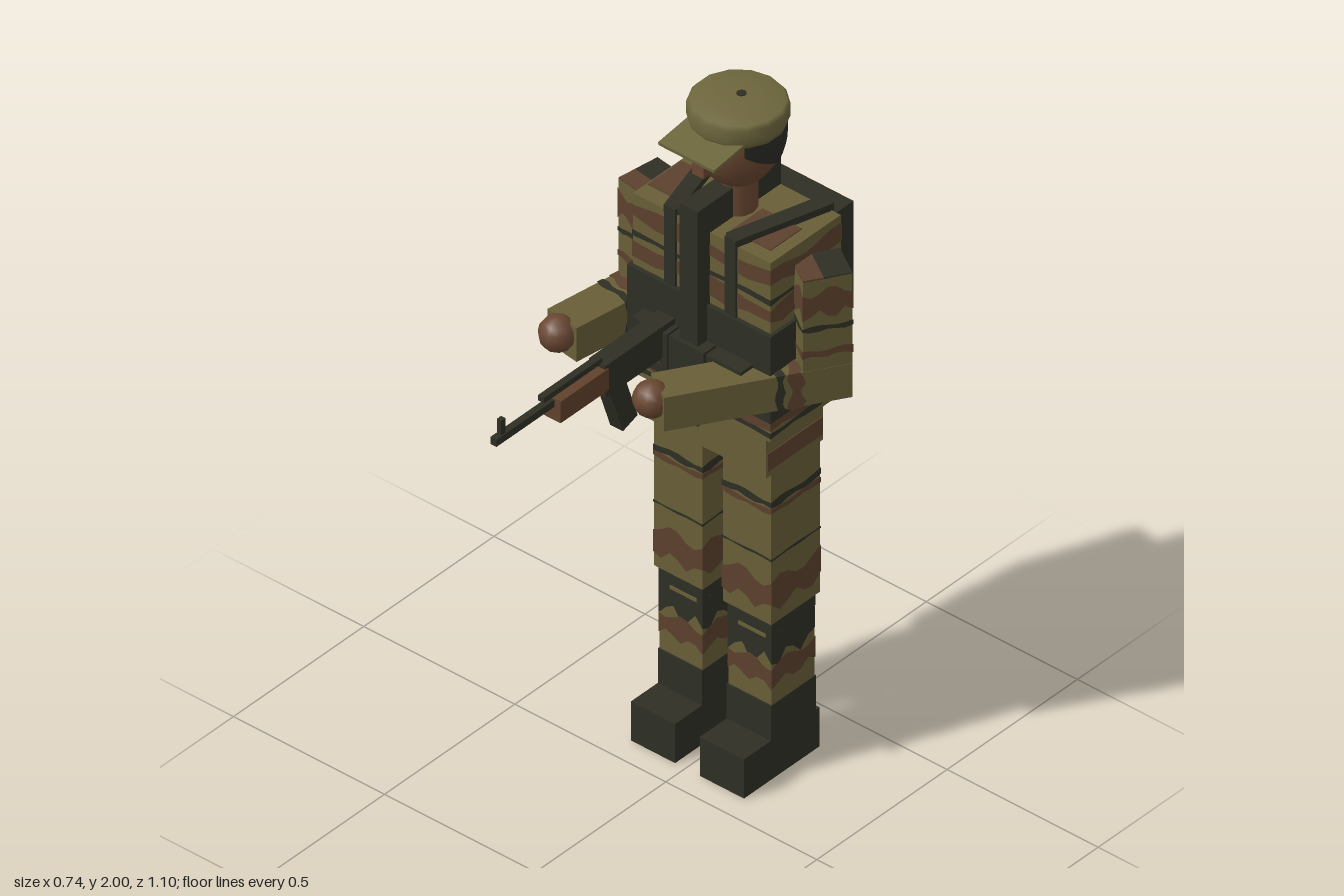
import * as THREE from 'three';

const material = (name, color, side = THREE.FrontSide) => {
  const m = new THREE.MeshStandardMaterial({ color, side });
  m.name = name;
  return m;
};

export function createModel() {
  const olive = material('olive cloth', 0x685f37);
  const brown = material('brown camouflage', 0x5c412d);
  const dark = material('dark gear', 0x2e2f24);
  const capCloth = material('cap cloth', 0x6d663d);
  const skin = material('skin', 0x694731);
  const wood = material('wood', 0x61422c);
  const hairMat = material('hair', 0x2a2b26, THREE.DoubleSide);

  const model = new THREE.Group();
  model.name = 'soldier';
  const CX = 0.007, CZ = -0.265; // body axis

  const add = (parent, name, geometry, mat, x = 0, y = 0, z = 0) => {
    const mesh = new THREE.Mesh(geometry, mat);
    mesh.name = name;
    mesh.position.set(x, y, z);
    parent.add(mesh);
    return mesh;
  };
  // Box given by its limits on each axis
  const box = (parent, name, mat, x0, x1, y0, y1, z0, z1) =>
    add(parent, name, new THREE.BoxGeometry(x1 - x0, y1 - y0, z1 - z0), mat,
      (x0 + x1) / 2, (y0 + y1) / 2, (z0 + z1) / 2);

  // Wavy camouflage strip wrapped around a box of width w and depth d
  function bandGeometry(w, d, y0, y1, seed) {
    const hw = w / 2 + 0.002, hd = d / 2 + 0.002, n = 6;
    const corners = [[-hw, hd], [hw, hd], [hw, -hd], [-hw, -hd]];
    const loop = [];
    for (let s = 0; s < 4; s++) {
      const [a, b] = [corners[s], corners[(s + 1) % 4]];
      for (let i = 0; i < n; i++) {
        const t = i / n, k = s * n + i, amp = (y1 - y0) * 0.22;
        loop.push({
          x: a[0] + (b[0] - a[0]) * t, z: a[1] + (b[1] - a[1]) * t,
          lo: y0 + amp * Math.sin(k * 1.9 + seed * 2.3), hi: y1 + amp * Math.sin(k * 1.3 + seed * 4.1),
        });
      }
    }
    const pos = [];
    loop.forEach((p, i) => {
      const q = loop[(i + 1) % loop.length];
      pos.push(p.x, p.lo, p.z, q.x, q.lo, q.z, q.x, q.hi, q.z);
      pos.push(p.x, p.lo, p.z, q.x, q.hi, q.z, p.x, p.hi, p.z);
    });
    const g = new THREE.BufferGeometry();
    g.setAttribute('position', new THREE.Float32BufferAttribute(pos, 3));
    g.computeVertexNormals();
    return g;
  }
  // Cloth box standing on its group's origin, with bands [material, y0, y1]
  function clothBox(parent, name, w, h, d, bands, x = 0, y = 0, z = 0) {
    const g = new THREE.Group();
    g.name = name;
    g.position.set(x, y, z);
    parent.add(g);
    add(g, name + 'Cloth', new THREE.BoxGeometry(w, h, d), olive, 0, h / 2, 0);
    bands.forEach(([mat, y0, y1], i) =>
      add(g, name + 'Camouflage', bandGeometry(w, d, y0, y1, i + h * 9), mat));
    return g;
  }

  // Legs and boots
  for (const x of [-0.107, 0.121]) {
    const side = x > 0 ? 'left' : 'right';
    clothBox(model, side + 'Thigh', 0.16, 0.47, 0.187,
      [[brown, 0.05, 0.13], [dark, 0.2, 0.207], [brown, 0.345, 0.36], [dark, 0.365, 0.385]], x, 0.49, CZ);
    const shin = clothBox(model, side + 'Shin', 0.142, 0.27, 0.165, [[brown, 0.07, 0.13]], x, 0.22, CZ);
    add(shin, 'shinDarkBand', bandGeometry(0.141, 0.164, 0.145, 0.25, 2), dark);
    box(shin, 'shinDarkTop', dark, -0.073, 0.073, 0.23, 0.271, -0.0845, 0.0845);
    box(shin, 'shinPatch', olive, -0.035, 0.055, 0.215, 0.225, -0.087, 0.087);
    box(model, side + 'BootShaft', dark, x - 0.073, x + 0.073, 0.1, 0.23, -0.352, -0.178);
    box(model, side + 'BootFoot', dark, x - 0.073, x + 0.073, 0, 0.122, -0.365, -0.075);
  }

  // Hips and torso
  clothBox(model, 'hips', 0.39, 0.2, 0.22, [], CX, 0.96, -0.26);
  for (const s of [-1, 1])
    box(model, 'hipPatch', brown, CX + s * 0.195 - 0.003, CX + s * 0.195 + 0.003, 0.98, 1.035, -0.365, -0.155);
  box(model, 'hipMark', dark, -0.08, -0.04, 1.02, 1.028, -0.151, -0.147);
  clothBox(model, 'torso', 0.455, 0.56, 0.27,
    [[dark, 0.015, 0.03], [brown, 0.035, 0.06], [brown, 0.37, 0.42], [dark, 0.43, 0.445], [brown, 0.485, 0.53]],
    CX, 1.1, CZ);
  box(model, 'rightShoulderPatch', brown, -0.215, -0.13, 1.658, 1.663, -0.31, -0.18);
  box(model, 'leftShoulderPatch', brown, 0.07, 0.2, 1.658, 1.663, -0.29, -0.17);

  // Webbing: waist pack, pouches, centre strap, shoulder straps
  box(model, 'chestRig', dark, -0.23, 0.245, 1.17, 1.44, -0.413, -0.117);
  for (const x of [-0.115, 0.007, 0.13])
    box(model, 'pouch', dark, x - 0.058, x + 0.058, 1.2, 1.33, -0.13, -0.07);
  box(model, 'centreStrap', dark, -0.025, 0.035, 1.08, 1.75, -0.402, -0.082);
  for (const s of [-1, 1]) {
    const strap = add(model, 'shoulderStrap', new THREE.BoxGeometry(0.045, 0.022, 0.285), dark, CX + s * 0.137, 1.67, CZ);
    strap.rotation.y = -s * 0.28;
    box(model, 'frontStrap', dark, CX + s * 0.1 - 0.018, CX + s * 0.1 + 0.018, 1.42, 1.68, -0.14, -0.122);
    box(model, 'backStrap', dark, CX + s * 0.175 - 0.022, CX + s * 0.175 + 0.022, 1.42, 1.68, -0.41, -0.39);
  }
  box(model, 'backpack', dark, -0.13, 0.15, 1.25, 1.58, -0.547, -0.415);

  // Arms: upper arm, level forearm and hand, turned about the elbow
  function arm(side, x, z, turn, reach, drop) {
    const g = new THREE.Group();
    g.name = side + 'Arm';
    g.position.set(x, 0, z);
    g.rotation.y = turn;
    model.add(g);
    clothBox(g, side + 'UpperArm', 0.108, 0.34, 0.13,
      [[brown, 0.1, 0.12], [dark, 0.18, 0.195], [brown, 0.23, 0.3]], 0, 1.26, 0);
    box(g, 'shoulderDark', dark, -0.054, 0.054, 1.598, 1.603, -0.065, 0.01);
    box(g, 'shoulderBrown', brown, -0.054, 0.054, 1.598, 1.603, 0.01, 0.065);
    const fore = clothBox(g, side + 'Forearm', 0.11, reach + 0.065, 0.105,
      [[brown, 0.13, 0.165], [dark, 0.18, 0.2]], 0, 1.267 - drop, -0.065);
    fore.rotation.x = Math.PI / 2;
    add(g, side + 'Hand', new THREE.SphereGeometry(0.051, 10, 8), skin, 0, 1.282 - drop, reach + 0.015);
  }
  arm('right', -0.278, -0.27, -0.14, 0.3, 0.012);
  arm('left', 0.284, -0.268, -0.56, 0.43, 0);

  // Neck and head
  add(model, 'neck', new THREE.CylinderGeometry(0.055, 0.055, 0.14, 12), skin, CX, 1.71, CZ);
  const HY = 1.89;
  const head = add(model, 'head', new THREE.SphereGeometry(1, 16, 12, 0, Math.PI * 2, 1.2, Math.PI - 1.2), skin, CX, HY, -0.27);
  head.scale.set(0.115, 0.157, 0.122);
  box(model, 'nose', skin, -0.012, 0.026, 1.83, 1.868, -0.16, -0.115);
  // Hair: curved sheet, lowest at the nape and rising toward the temples
  const hair = new THREE.PlaneGeometry(1, 1, 20, 6);
  const hp = hair.attributes.position;
  for (let i = 0; i < hp.count; i++) {
    const a = hp.getX(i) * 4.5, t = hp.getY(i) + 0.5;
    const low = 1.785 + 0.105 * Math.pow(Math.abs(a) / 2.25, 2);
    const y = low + (1.935 - low) * t;
    const r = Math.sqrt(1 - Math.pow(Math.min(0, y - HY) / 0.16, 2));
    hp.setXYZ(i, -Math.sin(a) * 0.119 * r, y, -Math.cos(a) * 0.133 * r);
  }
  hair.computeVertexNormals();
  add(model, 'hair', hair, hairMat, CX, 0, -0.27);

  // Cap with peak and button
  const profile = [[0, 1.922], [0.124, 1.922], [0.131, 1.94], [0.131, 1.978], [0.122, 1.99], [0.06, 1.997], [0, 1.998]];
  add(model, 'cap', new THREE.LatheGeometry(profile.map(p => new THREE.Vector2(...p)), 14), capCloth, CX + 0.002, 0, -0.268);
  add(model, 'capButton', new THREE.CylinderGeometry(0.013, 0.013, 0.006, 10), dark, CX + 0.002, 1.997, -0.28);
  const peak = add(model, 'capPeak', new THREE.BoxGeometry(0.185, 0.01, 0.16), capCloth, 0.01, 1.927, -0.146);
  peak.rotation.x = 0.13;

  // Rifle
  const rifle = new THREE.Group();
  rifle.name = 'rifle';
  rifle.position.x = -0.098;
  model.add(rifle);
  box(rifle, 'stock', wood, -0.024, 0.024, 1.23, 1.32, -0.43, -0.1);
  box(rifle, 'receiver', dark, -0.027, 0.027, 1.25, 1.348, -0.18, 0.15);
  box(rifle, 'handguard', wood, -0.03, 0.03, 1.27, 1.337, 0.14, 0.325);
  box(rifle, 'gasTube', dark, -0.01, 0.01, 1.345, 1.362, 0.14, 0.365);
  box(rifle, 'barrel', dark, -0.01, 0.01, 1.312, 1.334, 0.3, 0.548);
  box(rifle, 'frontSight', dark, -0.007, 0.007, 1.33, 1.38, 0.51, 0.527);
  const magazine = add(rifle, 'magazine', new THREE.BoxGeometry(0.042, 0.18, 0.06), dark, 0, 1.195, 0.076);
  magazine.rotation.x = 0.33;
  const grip = add(rifle, 'grip', new THREE.BoxGeometry(0.035, 0.09, 0.04), wood, 0, 1.215, -0.095);
  grip.rotation.x = 0.3;

  return model;
}
